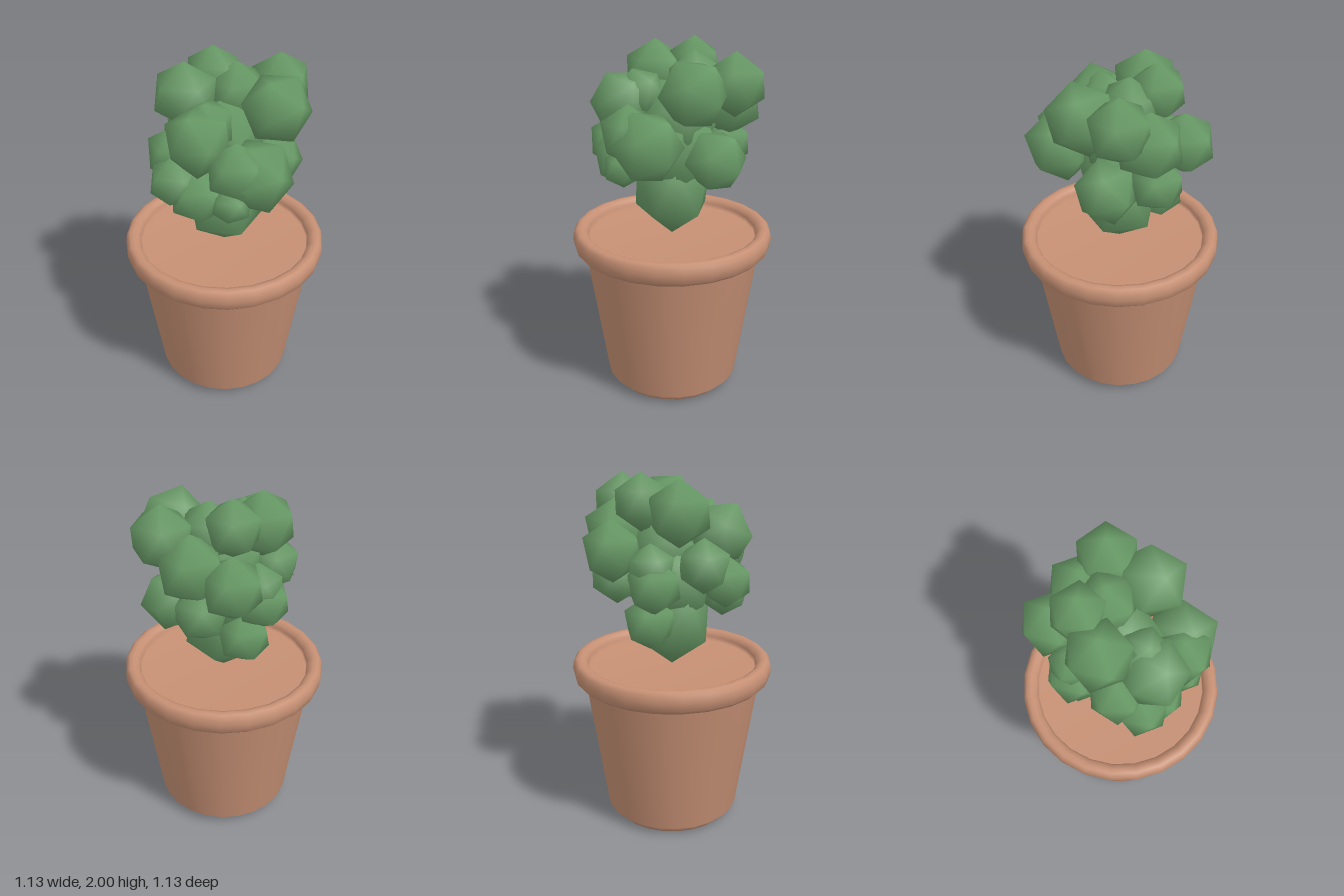
import * as THREE from 'three';

const terracotta = new THREE.MeshStandardMaterial({ color: 0xc69074 });
terracotta.name = 'terracotta';
const leafGreen = new THREE.MeshStandardMaterial({ color: 0x689a66 });
leafGreen.name = 'leafGreen';

// Turned pot: underside, tapered wall, thick rounded rim and shallow filled top
function makePot() {
  const profile = [
    [0, 0], [0.335, 0], [0.383, 0.05], [0.497, 0.828],
    [0.53, 0.83], [0.555, 0.855], [0.564, 0.9], [0.558, 0.94],
    [0.54, 0.957], [0.515, 0.96], [0.49, 0.948], [0.478, 0.925], [0.475, 0.897], [0, 0.895],
  ];
  const points = profile.map(([r, y]) => new THREE.Vector2(r, y));
  const pot = new THREE.Mesh(new THREE.LatheGeometry(points, 24), terracotta);
  pot.name = 'pot';
  return pot;
}

// Smooth-shaded icosahedron with a corner at its top and bottom and one towards -z
function makeBall() {
  const geometry = new THREE.IcosahedronGeometry(1, 0);
  geometry.rotateZ(Math.atan(2 / (1 + Math.sqrt(5))));
  geometry.setAttribute('normal', geometry.attributes.position.clone());
  return geometry;
}

export function createModel() {
  const model = new THREE.Group();
  model.name = 'pottedBush';
  model.add(makePot());

  // Bush: overlapping leaf clumps as [x, y, z, radius, tilt, turn]
  const clumps = [
    // inner mass
    [0, 1.42, 0, 0.27, 0, 0.3], [0, 1.58, -0.02, 0.23, 0.4, 0],
    // crown
    [-0.14, 1.845, -0.14, 0.155, 0, 0.2], [-0.19, 1.8, 0.07, 0.18, 0, 0],
    [0.26, 1.765, -0.08, 0.19, 0.5, 0.5], [0.17, 1.79, -0.31, 0.172, 0, 0.3],
    [0, 1.66, -0.31, 0.185, 0, 0], [0.01, 1.785, -0.12, 0.165, 0, 0.6],
    [0, 1.72, 0.17, 0.14, 0.3, 0], [-0.01, 1.67, 0.26, 0.185, 0.5, 0],
    // middle ring
    [0.27, 1.5, 0.16, 0.2, 0.4, 0.4], [0.2, 1.55, 0.25, 0.16, 0, 0.3],
    [-0.19, 1.53, 0.2, 0.15, 0, 0.3], [-0.12, 1.435, 0.31, 0.145, 0, 0],
    [-0.25, 1.52, -0.07, 0.135, 0, 0.5], [-0.22, 1.6, -0.28, 0.17, 0, 0],
    // lower ring
    [0, 1.37, 0.28, 0.16, 0, 0.3], [0.19, 1.37, 0.28, 0.11, 0, 0],
    [-0.265, 1.43, -0.05, 0.155, 0, 0], [0.19, 1.39, -0.21, 0.175, 0.5, 0.5],
    [-0.05, 1.42, -0.3, 0.155, 0, Math.PI / 2], [-0.18, 1.21, -0.09, 0.155, 0, 0],
  ];
  const bush = new THREE.Group();
  bush.name = 'bush';
  const ball = makeBall();
  const addClump = (name, [x, y, z, r, tilt, turn]) => {
    const clump = new THREE.Mesh(ball, leafGreen);
    clump.name = name;
    clump.position.set(x, y, z);
    clump.rotation.set(tilt, turn, 0);
    clump.scale.setScalar(r);
    bush.add(clump);
    return clump;
  };
  clumps.forEach((clump) => addClump('leafClump', clump));

  // Taller clump that the bush stands on, its corner facing forward
  addClump('bushBase', [0, 1.2, 0, 0.235, 0, Math.PI]).scale.y = 0.29;
  model.add(bush);
  return model;
}
